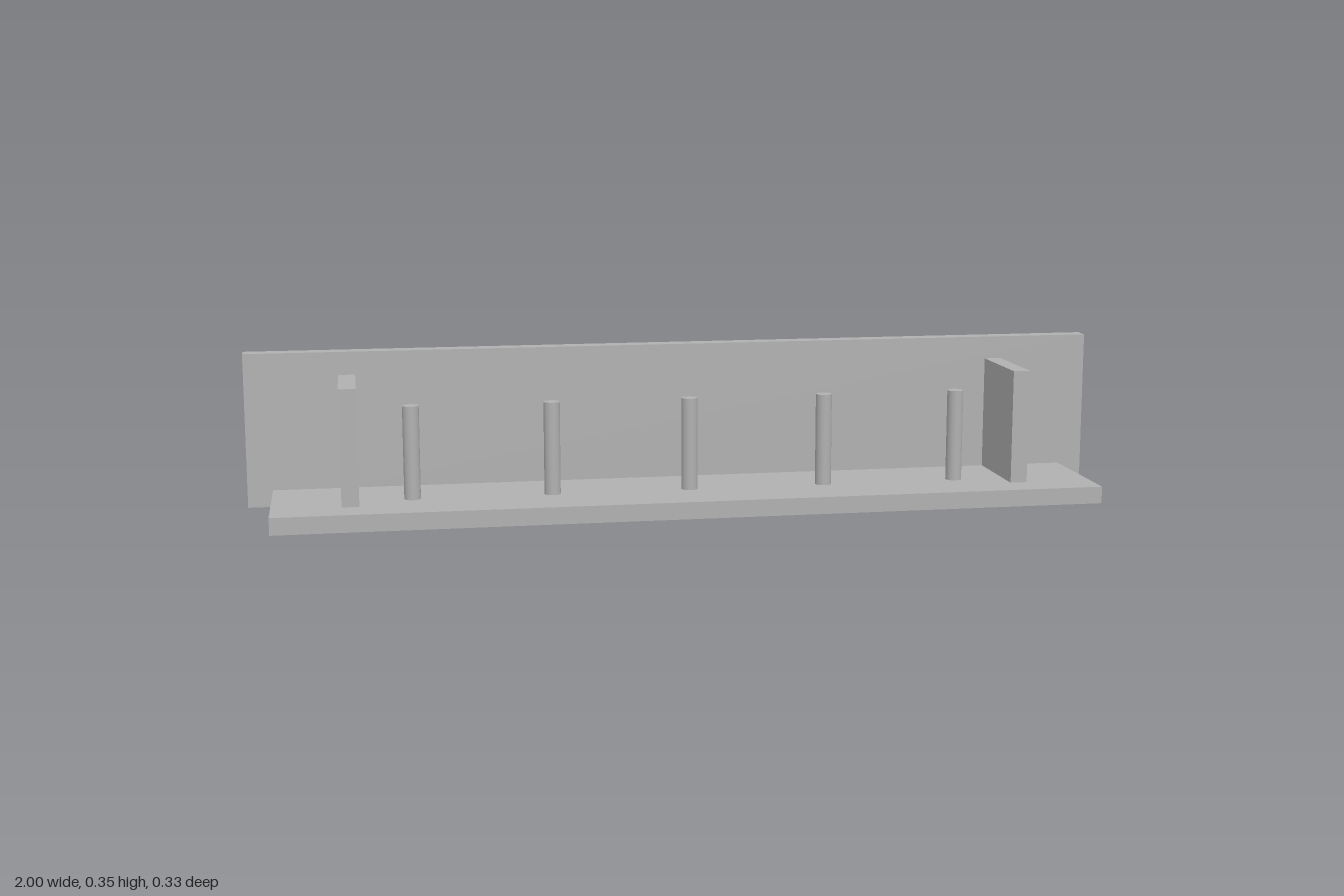
import * as THREE from 'three';

export function createModel() {
  const model = new THREE.Group();
  const grey = new THREE.MeshStandardMaterial({ color: 0xb0b0b0 });
  grey.name = 'plain grey';

  const add = (name, geometry, x, y, z) => {
    const mesh = new THREE.Mesh(geometry, grey);
    mesh.name = name;
    mesh.position.set(x, y, z);
    model.add(mesh);
  };
  // Box given by its centre x, width and its y and z limits
  const box = (name, x, width, y0, y1, z0, z1) =>
    add(name, new THREE.BoxGeometry(width, y1 - y0, z1 - z0), x, (y0 + y1) / 2, (z0 + z1) / 2);

  const backZ = -0.125, shelfTop = 0.039;

  // Wall board and the shelf in front of it
  box('backBoard', 0, 2, 0, 0.355, -0.165, backZ);
  box('shelf', 0, 1.886, 0, shelfTop, backZ, 0.165);

  // Upright side supports
  for (const side of [-1, 1]) {
    box(side > 0 ? 'leftSupport' : 'rightSupport', side * 0.769, 0.039, shelfTop, 0.302, backZ, 0.086);
  }

  // Row of round pegs
  const pegHeight = 0.212;
  const peg = new THREE.CylinderGeometry(0.0185, 0.0185, pegHeight, 32);
  for (let i = -2; i <= 2; i++) {
    add(`peg${i + 3}`, peg, i * 0.3155, shelfTop + pegHeight / 2, 0.02);
  }
  return model;
}
